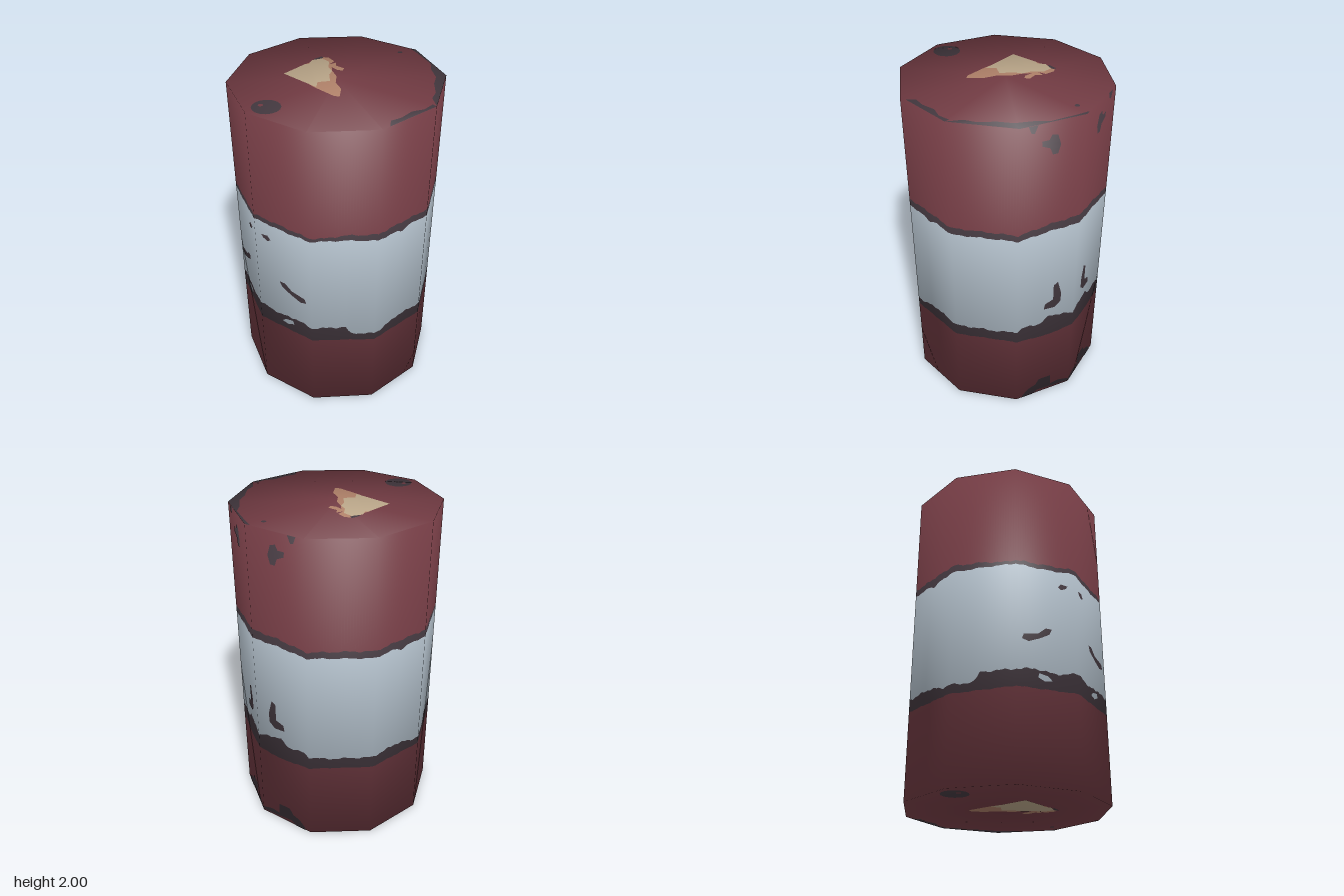
import * as THREE from 'three';

const R = 0.617, H = 2, SIDE = Math.PI / 5;
const paint = (name, color) => {
  const m = new THREE.MeshStandardMaterial({ color });
  m.name = name;
  return m;
};

// Rim normals are shared by wall and cap, which gives the soft shading
const RIM_OUT = 0.765, RIM_UP = 0.644;

// Corner k of the ten-sided outline; the paint is mirrored about corner 0
const corner = (k) => new THREE.Vector2(Math.cos((k - 1) * SIDE), Math.sin((k - 1) * SIDE));
const outline = (t) => {
  const k = Math.floor(t + 1e-6);
  return corner(k).lerp(corner(k + 1), t - k);
};

// Wrap a flat geometry (x = -t in wall faces, y = height) around the wall
function wrap(geo, lift = 0) {
  const p = geo.attributes.position, n = geo.attributes.normal, v = new THREE.Vector3();
  for (let i = 0; i < p.count; i++) {
    const y = p.getY(i), o = outline(-p.getX(i)), r = R + lift;
    p.setXYZ(i, o.x * r, y, o.y * r);
    v.set(o.x * RIM_OUT, RIM_UP * (2 * y / H - 1), o.y * RIM_OUT).normalize();
    n.setXYZ(i, v.x, v.y, v.z);
  }
  return geo;
}

// Lay a flat geometry (x, -z) on the top cap
function layOnTop(geo, lift = 0) {
  geo.rotateX(-Math.PI / 2);
  const p = geo.attributes.position, n = geo.attributes.normal, v = new THREE.Vector3();
  for (let i = 0; i < p.count; i++) {
    const x = p.getX(i), z = p.getZ(i), r = Math.hypot(x, z) / R;
    p.setY(i, H / 2 + lift);
    v.set(x / R * RIM_OUT, 1 + (RIM_UP - 1) * r, z / R * RIM_OUT).normalize();
    n.setXYZ(i, v.x, v.y, v.z);
  }
  return geo;
}

const polygon = (pts) =>
  new THREE.ShapeGeometry(new THREE.Shape(pts.map(([x, y]) => new THREE.Vector2(x, y))));

// Piecewise linear edge over t = 0..5, with a little raggedness
const edge = (pts, rough) => (t) => {
  let i = 1;
  while (i < pts.length - 1 && pts[i][0] < t) i++;
  const [a, ya] = pts[i - 1], [b, yb] = pts[i];
  return THREE.MathUtils.mapLinear(t, a, b, ya, yb)
    + rough * (Math.sin(t * 17) + 0.7 * Math.sin(t * 41 + 1));
};

export function createModel() {
  const red = paint('red paint', 0x723b43);
  const pale = paint('pale band paint', 0xb2bfca);
  const dark = paint('bare dark metal', 0x43383f);
  const cream = paint('cream paper', 0xb9a588);
  const tan = paint('torn paper backing', 0xae8068);

  const model = new THREE.Group();
  model.name = 'barrel';
  const add = (parent, name, geo, mat) => {
    const m = new THREE.Mesh(geo, mat);
    m.name = name;
    parent.add(m);
  };

  // Wall, split into painted bands by ragged edges
  const edges = [
    () => 0,
    edge([[0, 0.525], [0.45, 0.505], [1, 0.525], [3, 0.525], [4, 0.54], [5, 0.55]], 0.002),
    edge([[0, 0.62], [0.2, 0.65], [0.45, 0.66], [0.6, 0.62], [0.9, 0.63], [1, 0.61], [1.3, 0.595],
      [2, 0.6], [2.5, 0.61], [2.9, 0.575], [3.4, 0.585], [3.45, 0.64], [4, 0.64], [4.3, 0.66],
      [4.6, 0.645], [5, 0.67]], 0.005),
    edge([[0, 1.315], [0.45, 1.315], [1, 1.3], [1.9, 1.295], [2.4, 1.3], [2.5, 1.28], [2.65, 1.295],
      [3.5, 1.31], [4.4, 1.31], [5, 1.325]], 0.003),
    edge([[0, 1.37], [0.45, 1.365], [1, 1.34], [2, 1.34], [2.5, 1.345], [3.5, 1.345], [3.8, 1.33],
      [5, 1.355]], 0.004),
    () => H,
  ];
  const bands = [['lowerWall', red], ['lowerWornEdge', dark], ['paleBand', pale],
    ['upperWornEdge', dark], ['upperWall', red]];
  bands.forEach(([name, mat], i) => {
    const geo = new THREE.PlaneGeometry(10, 1, 240, 1), p = geo.attributes.position;
    for (let j = 0; j < p.count; j++) {
      const t = Math.abs(p.getX(j));
      p.setY(j, edges[i + (p.getY(j) > 0 ? 1 : 0)](t));
    }
    add(model, name, wrap(geo), mat);
  });

  // Scratches and chips on the wall, each with its mirror twin
  const marks = [
    ['hookScratch', dark, [[0.38, 0.9], [0.31, 0.92], [0.24, 0.82], [0.25, 0.76], [0.35, 0.725],
      [0.54, 0.73], [0.52, 0.77], [0.38, 0.79]]],
    ['frontScratch', dark, [[4.58, 0.92], [4.48, 0.92], [4.36, 0.88], [4.12, 0.86], [4.09, 0.83],
      [4.2, 0.82], [4.38, 0.85], [4.54, 0.885]]],
    ['smallChip', dark, [[4.88, 1.23], [4.76, 1.235], [4.71, 1.21], [4.76, 1.195], [4.84, 1.21]]],
    ['paleFleck', pale, [[4.57, 0.6], [4.5, 0.625], [4.36, 0.635], [4.34, 0.61], [4.45, 0.59]]],
    ['upperChip', dark, [[0.66, 1.87], [0.67, 1.9], [0.56, 1.9], [0.52, 1.93], [0.43, 1.92],
      [0.38, 1.86], [0.42, 1.81], [0.5, 1.81], [0.54, 1.85]]],
    ['rimChip', dark, [[0.87, 2], [0.83, 1.96], [0.78, 1.955], [0.73, 2]]],
    ['footWear', dark, [[0, 0.03], [0.2, 0.05], [0.35, 0.04], [0.36, 0.12], [0.58, 0.12], [0.64, 0.08],
      [0.78, 0.06], [0.88, 0.02], [0.9, 0], [0.7, 0], [0.6, 0.025], [0.3, 0.015], [0, 0.01]]],
  ];
  for (const [name, mat, pts] of marks)
    for (const side of [1, -1])
      add(model, name, wrap(polygon(pts.map(([t, y]) => [-t * side, y])), 0.002), mat);

  // End cap with a torn paper scrap, a dark spot and worn rim
  const flat = (pts) => polygon(pts.map(([x, z]) => [x, -z]));
  const spot = (r, x, z) => new THREE.CircleGeometry(r, 16).translate(x, -z, 0);
  const makeCap = (name) => {
    const cap = new THREE.Group();
    cap.name = name;
    const put = (n, geo, mat, lift) => add(cap, n, layOnTop(geo, lift), mat);
    put('capPlate', new THREE.CircleGeometry(R, 10), red, 0);
    put('tornBacking', flat([[-0.17, -0.2], [-0.06, -0.29], [-0.03, -0.28], [0, -0.23], [-0.03, -0.19],
      [0.01, -0.21], [0.005, -0.17], [0.05, -0.13], [0.04, -0.1], [0.01, -0.11], [-0.02, -0.15],
      [-0.02, -0.1], [0, -0.03], [-0.01, 0.05], [0.015, 0.13], [0, 0.22], [-0.03, 0.21],
      [-0.13, 0.1], [-0.2, 0]]), tan, 0.001);
    put('paperScrap', flat([[-0.295, -0.08], [-0.17, -0.2], [-0.15, -0.2], [-0.13, -0.25], [-0.07, -0.27],
      [-0.03, -0.22], [-0.04, -0.15], [-0.02, -0.1], [-0.04, -0.05], [-0.04, 0.03], [-0.11, 0.04],
      [-0.12, 0.1]]), cream, 0.002);
    put('scrapShadowChip', flat([[-0.12, -0.265], [-0.07, -0.3], [-0.06, -0.28], [-0.1, -0.25]]), dark, 0.0015);
    put('darkSpot', spot(0.08, -0.39, 0.31), dark, 0.001);
    put('spotFleck', spot(0.014, -0.42, 0.29), red, 0.002);
    put('smallSpot', spot(0.014, 0.4, -0.33), dark, 0.001);
    put('sideRimWear', flat([[0.47, -0.38], [0.499, -0.363], [0.617, 0], [0.499, 0.363], [0.49, 0.27],
      [0.52, 0.21], [0.53, 0.1], [0.555, 0.02], [0.545, -0.08], [0.555, -0.16], [0.5, -0.31]]), dark, 0.001);
    put('frontRimWear', flat([[0.23, 0.557], [0.24, 0.5], [0.3, 0.47], [0.36, 0.41], [0.43, 0.39],
      [0.48, 0.34], [0.499, 0.363]]), dark, 0.001);
    cap.position.y = H / 2;
    model.add(cap);
    return cap;
  };
  makeCap('topCap');
  makeCap('bottomCap').rotation.x = Math.PI;

  return model;
}
